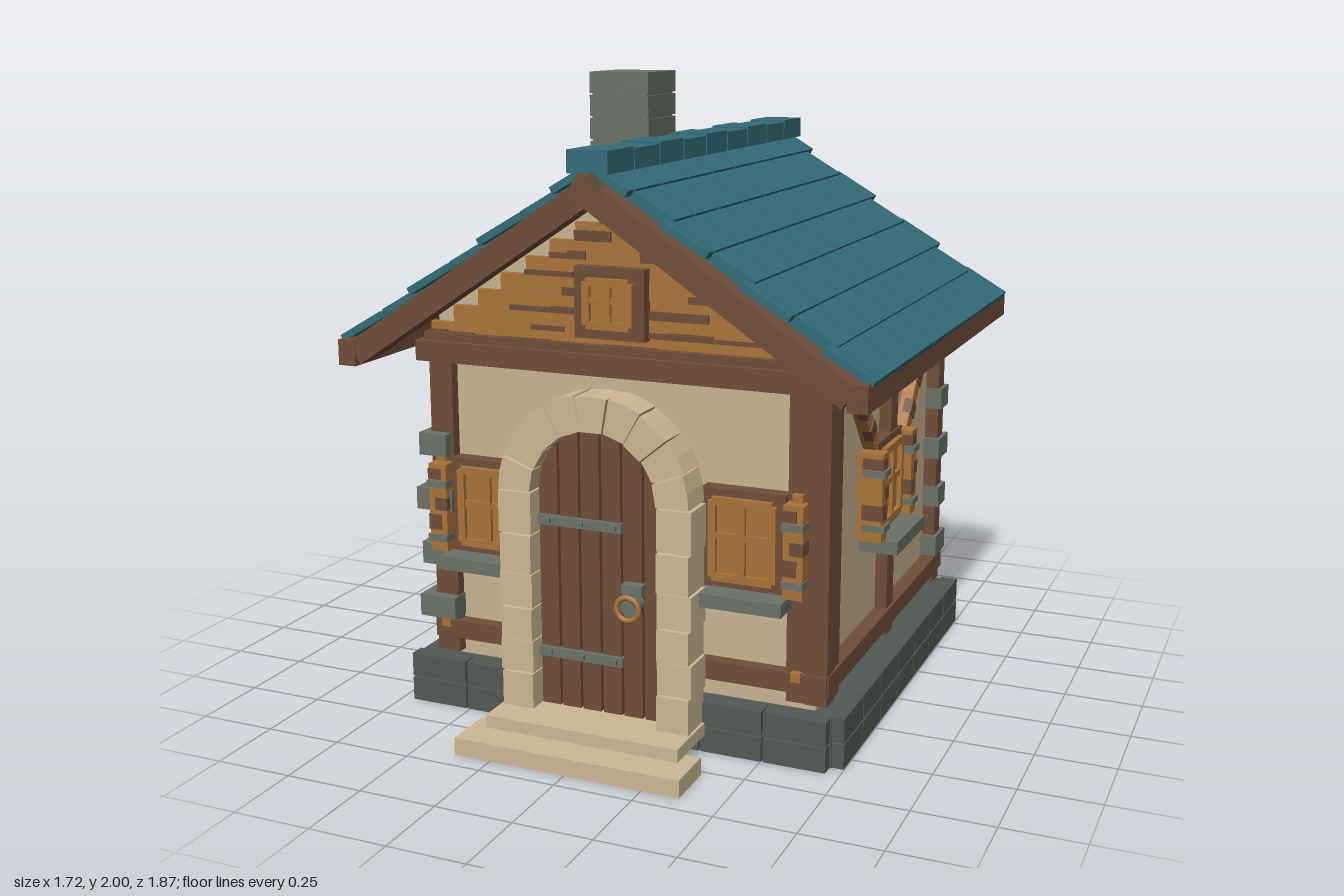
import * as THREE from 'three';

const mat = (name, color) => {
  const m = new THREE.MeshStandardMaterial({ color });
  m.name = name;
  return m;
};

export function createModel() {
  const M = {
    plaster: mat('plaster', 0xc8b592),
    sandstone: mat('sandstone', 0xccb994),
    timber: mat('timber', 0x704e3a),
    orange: mat('orange wood', 0xab7439),
    stone: mat('grey stone', 0x6b7169),
    darkStone: mat('dark stone', 0x525a55),
    teal: mat('teal roof', 0x336d77),
  };
  const house = new THREE.Group();
  house.name = 'cottage';
  let seed = 7;
  const rand = () => (seed = (seed * 16807) % 2147483647) / 2147483647;

  const group = (name, parent = house) => {
    const g = new THREE.Group();
    g.name = name;
    parent.add(g);
    return g;
  };
  const add = (parent, name, m, geo) => {
    const mesh = new THREE.Mesh(geo, m);
    mesh.name = name;
    parent.add(mesh);
    return mesh;
  };
  // box given by its limits on each axis
  const box = (p, name, m, x0, x1, y0, y1, z0, z1) => {
    const mesh = add(p, name, m, new THREE.BoxGeometry(x1 - x0, y1 - y0, z1 - z0));
    mesh.position.set((x0 + x1) / 2, (y0 + y1) / 2, (z0 + z1) / 2);
    return mesh;
  };
  const extrude = (p, name, m, pts, z0, z1) => {
    const shape = new THREE.Shape(pts.map(([x, y]) => new THREE.Vector2(x, y)));
    const geo = new THREE.ExtrudeGeometry(shape, { depth: z1 - z0, bevelEnabled: false });
    geo.translate(0, 0, z0);
    return add(p, name, m, geo);
  };

  // foundation, with stone facing on the front and the +x side
  const base = group('foundation');
  box(base, 'foundationCore', M.darkStone, -0.705, 0.71, 0, 0.155, -0.785, 0.58);
  for (let row = 0; row < 2; row++) {
    const y0 = row * 0.083, y1 = y0 + 0.077;
    for (let i = 0; i < 7; i++) {
      const x = -0.71 + i * 0.203, z = -0.785 + i * 0.195;
      box(base, 'frontBlock', M.darkStone, x, x + 0.197, y0, y1, 0.57, 0.62);
      box(base, 'sideBlock', M.darkStone, 0.69, 0.748, y0, y1, z, z + 0.189);
    }
  }

  // plaster walls with gables
  extrude(house, 'walls', M.plaster,
    [[-0.62, 0.15], [0.645, 0.15], [0.645, 1.28], [0, 1.7], [-0.62, 1.29]], -0.715, 0.535);

  // timber frame
  const frame = group('timberFrame');
  const T = (name, ...b) => box(frame, name, M.timber, ...b);
  T('frontLeftPost', 0.56, 0.63, 0.185, 1.14, 0.5, 0.565);
  T('cornerPost', 0.62, 0.69, 0.185, 1.14, 0.5, 0.57);
  T('sidePost', 0.62, 0.685, 0.185, 1.14, 0.44, 0.505);
  T('frontRightPost', -0.64, -0.56, 0.17, 1.14, 0.49, 0.57);
  T('backPost', 0.61, 0.69, 0.185, 1.2, -0.72, -0.65);
  T('middlePost', 0.62, 0.685, 0.185, 1.2, -0.14, -0.065);
  T('frontTopBeam', -0.67, 0.69, 1.135, 1.2, 0.5, 0.6);
  T('frontTopRail', -0.65, 0.65, 1.19, 1.225, 0.5, 0.58);
  T('frontBottomBeam', -0.64, 0.69, 0.22, 0.28, 0.5, 0.58);
  T('sideBottomBeam', 0.61, 0.695, 0.22, 0.28, -0.74, 0.57);
  for (const y of [0.25, 0.8]) for (const x of [-0.6, 0.595])
    box(frame, 'peg', M.orange, x - 0.016, x + 0.016, y + 0.005, y + 0.035, 0.56, 0.585);

  // diagonal braces with bark patches on the +x wall
  for (const [zTop, yTop, zLow, yLow] of [[0.315, 1.14, 0.09, 0.88], [-0.52, 1.14, -0.27, 0.84]]) {
    const brace = group('brace', frame);
    const dz = zTop - zLow, dy = yTop - yLow, len = Math.hypot(dz, dy);
    brace.position.set(0.66, (yTop + yLow) / 2, (zTop + zLow) / 2);
    brace.rotation.x = Math.atan2(dz, dy);
    box(brace, 'braceBeam', M.orange, -0.03, 0.025, -len / 2, len / 2, -0.025, 0.025);
    for (const t of [-0.36, -0.05, 0.27])
      box(brace, 'barkPatch', M.timber, 0, 0.029, len * t, len * t + 0.05, -0.0265, 0.0265);
  }

  // corner stones
  for (let i = 0; i < 4; i++) {
    const y = 0.29 + i * 0.18, w = i % 2 ? 0 : 0.015;
    box(house, 'backCornerStone', M.stone, 0.6, 0.702, y, y + 0.072, -0.74 - w, -0.645 + w);
    box(house, 'frontCornerStone', M.stone, -0.668 - w, -0.57 + w, y, y + 0.072, 0.47, 0.602);
  }

  // four-pane sash facing +z
  const sash = (p, w, h, z) => {
    box(p, 'pane', M.orange, -w, w, -h, h, 0, z);
    for (const s of [-1, 1]) {
      box(p, 'sashRail', M.orange, -w, w, s * h - 0.012, s * h + 0.012, 0, z + 0.015);
      box(p, 'sashStile', M.orange, s * w - 0.012, s * w + 0.012, -h, h, 0, z + 0.015);
    }
    box(p, 'mullion', M.orange, -0.01, 0.01, -h, h, 0, z + 0.013);
    box(p, 'muntin', M.orange, -w, w, 0, 0.02, 0, z + 0.011);
  };
  // shuttered window with sill
  const makeWindow = (name, x, y, z, turn, sillW) => {
    const g = group(name);
    g.position.set(x, y, z);
    g.rotation.y = turn;
    box(g, 'windowFrame', M.timber, -0.133, 0.133, -0.152, 0.153, 0, 0.05);
    sash(g, 0.095, 0.118, 0.052);
    box(g, 'sill', M.stone, -sillW, sillW, -0.195, -0.153, -0.01, 0.128);
    for (const s of [-1, 1]) {
      const sh = group('shutter', g);
      sh.position.x = s * 0.167;
      box(sh, 'shutterBoard', M.orange, -0.031, 0.031, -0.15, 0.135, 0, 0.085);
      for (const [a, b, c] of [[-0.08, 0.05, -1], [-0.015, 0.04, 1], [0.085, 0.035, -1]])
        box(sh, 'shutterPatch', M.timber, c < 0 ? -0.033 : -0.01, c < 0 ? 0.012 : 0.033, a, a + b, 0.02, 0.088);
      for (const hy of [-0.117, 0.06])
        box(sh, 'shutterHinge', M.stone, -0.034, 0.034, hy, hy + 0.022, 0.02, 0.094);
    }
  };
  makeWindow('frontWindowLeft', 0.427, 0.675, 0.535, 0, 0.148);
  makeWindow('frontWindowRight', -0.427, 0.675, 0.535, 0, 0.148);
  makeWindow('sideWindow', 0.642, 0.728, -0.035, Math.PI / 2, 0.162);

  // gable planks, stepped to the roof line, with brown weathered joints
  for (const s of [1, -1]) {
    const gable = group(s > 0 ? 'frontGable' : 'backGable');
    if (s < 0) gable.rotation.y = Math.PI;
    const z = s > 0 ? 0.53 : 0.71;
    for (let i = 0; i < 8; i++) {
      const y = 1.2 + i * 0.056, half = (1.665 - y - 0.045) / 0.66;
      if (half < 0.03) continue;
      box(gable, 'plank', M.orange, -half, half, y, y + 0.056, z, z + 0.025 + (i % 2) * 0.006);
      for (let x = -half; x < half - 0.04;) {
        const len = Math.min(0.06 + rand() * 0.16, half - x), h = 0.012 + rand() * 0.022;
        if (rand() < 0.68) box(gable, 'weatheredJoint', M.timber, x, x + len, y, y + h, z + 0.02, z + 0.036);
        x += len;
      }
    }
  }
  const attic = group('atticWindow');
  attic.position.set(0, 1.357, 0.55);
  box(attic, 'atticFrame', M.timber, -0.115, 0.115, -0.108, 0.108, 0, 0.045);
  sash(attic, 0.07, 0.065, 0.047);

  // arched door
  const door = group('door');
  const R = 0.212, CY = 0.79;
  const arched = (x0, x1, r) => {
    const pts = [[x0, 0.095], [x1, 0.095]];
    for (let i = 0; i <= 6; i++) {
      const x = x1 + (x0 - x1) * i / 6;
      pts.push([x, CY + Math.sqrt(Math.max(0, r * r - x * x))]);
    }
    return pts;
  };
  extrude(door, 'doorBacking', M.timber, arched(-R, R, R), 0.53, 0.645);
  for (let i = 0; i < 6; i++) {
    const x = -0.21 + i * 0.07;
    extrude(door, 'doorPlank', M.timber, arched(x + 0.004, x + 0.066, R), 0.64, 0.668);
  }
  for (const y of [0.255, 0.68]) {
    box(door, 'doorHinge', M.stone, -0.21, 0.075, y, y + 0.03, 0.66, 0.682);
    for (const x of [-0.17, -0.06, 0.05])
      box(door, 'hingeStud', M.stone, x - 0.008, x + 0.008, y + 0.007, y + 0.023, 0.68, 0.69);
  }
  box(door, 'handlePlate', M.stone, 0.082, 0.148, 0.495, 0.53, 0.66, 0.7);
  const boss = add(door, 'handleBoss', M.stone, new THREE.CylinderGeometry(0.03, 0.03, 0.05, 16));
  boss.rotation.x = Math.PI / 2;
  boss.position.set(0.115, 0.465, 0.69);
  const ring = add(door, 'handleRing', M.orange, new THREE.TorusGeometry(0.036, 0.009, 8, 20));
  ring.position.set(0.115, 0.465, 0.728);

  // stone door surround
  const surround = group('doorSurround');
  const courses = [0.095, 0.21, 0.315, 0.42, 0.53, 0.655, 0.79];
  for (const s of [-1, 1]) for (let i = 0; i < 6; i++) {
    const out = 0.312 + (i % 2) * 0.006;
    const [a, b] = s > 0 ? [R - 0.004, out] : [-out, 0.004 - R];
    box(surround, 'jambStone', M.sandstone, a, b, courses[i], courses[i + 1] - 0.004, 0.61, 0.73 - (i % 2) * 0.006);
  }
  for (let i = 0; i < 9; i++) {
    const a0 = Math.PI * i / 9 + 0.008, a1 = Math.PI * (i + 1) / 9 - 0.008, ro = 0.313 + (i % 2) * 0.004;
    const at = (r, a) => [r * Math.cos(a), CY + r * Math.sin(a)];
    extrude(surround, 'archStone', M.sandstone,
      [at(R - 0.004, a0), at(ro, a0), at(ro, (a0 + a1) / 2), at(ro, a1), at(R - 0.004, a1)], 0.61, 0.73 - (i % 2) * 0.006);
  }
  box(house, 'lowerStep', M.sandstone, -0.37, 0.37, 0, 0.055, 0.77, 0.935);
  box(house, 'upperStep', M.sandstone, -0.32, 0.32, 0.055, 0.095, 0.6, 0.83);

  // roof: each slope is built along local x and mirrored by rotation
  const roof = group('roof');
  const L = 1.03, pitch = L / 7, tilt = Math.atan2(0.57, 0.86);
  for (const s of [1, -1]) {
    const slope = group(s > 0 ? 'leftSlope' : 'rightSlope', roof);
    slope.position.y = 1.785;
    slope.rotation.z = -s * tilt;
    const span = (name, m, a, b, ...rest) => box(slope, name, m, s > 0 ? a : -b, s > 0 ? b : -a, ...rest);
    span('roofBoard', M.teal, 0, L - 0.015, -0.045, -0.012, -0.85, 0.67);
    span('bargeBoard', M.timber, 0, L - 0.03, -0.108, -0.032, 0.675, 0.752);
    for (let r = 0; r < 7; r++) {
      const odd = r % 2, zMin = odd ? -0.85 : -0.9, zMax = odd ? 0.68 : 0.728;
      let z = zMin;
      for (let k = 0; k < 9 && z < zMax - 0.02; k++) {
        const end = Math.min((odd ? -0.65 : -0.7) + k * 0.1965, zMax);
        const tile = span('shingle', M.teal, r * pitch - (r ? 0.02 : 0), (r + 1) * pitch, -0.02, 0.002, z + 0.004, end - 0.004);
        tile.rotation.z = s * 0.06;
        z = end;
      }
    }
    const e = s > 0 ? [0.79, 0.85] : [-0.85, -0.79];
    box(roof, 'eaveBeam', M.timber, e[0], e[1], 1.135, 1.215, -0.93, 0.755);
  }
  for (let i = 0; i < 9; i++) {
    const z = 0.73 - i * 0.1845;
    box(roof, 'ridgeCap', M.teal, -0.065, 0.065, 1.752, 1.82 - (i % 2) * 0.006, z - 0.178, z);
  }

  // chimney in stone courses
  const chimney = group('chimney');
  box(chimney, 'chimneyCore', M.stone, -0.487, -0.278, 1.3, 1.99, -0.522, -0.303);
  for (let i = 0; i < 8; i++) {
    const y = 2 - i * 0.0795;
    box(chimney, 'chimneyCourse', M.stone, -0.493, -0.27, y - 0.073, y, -0.53, -0.295);
  }
  return house;
}
